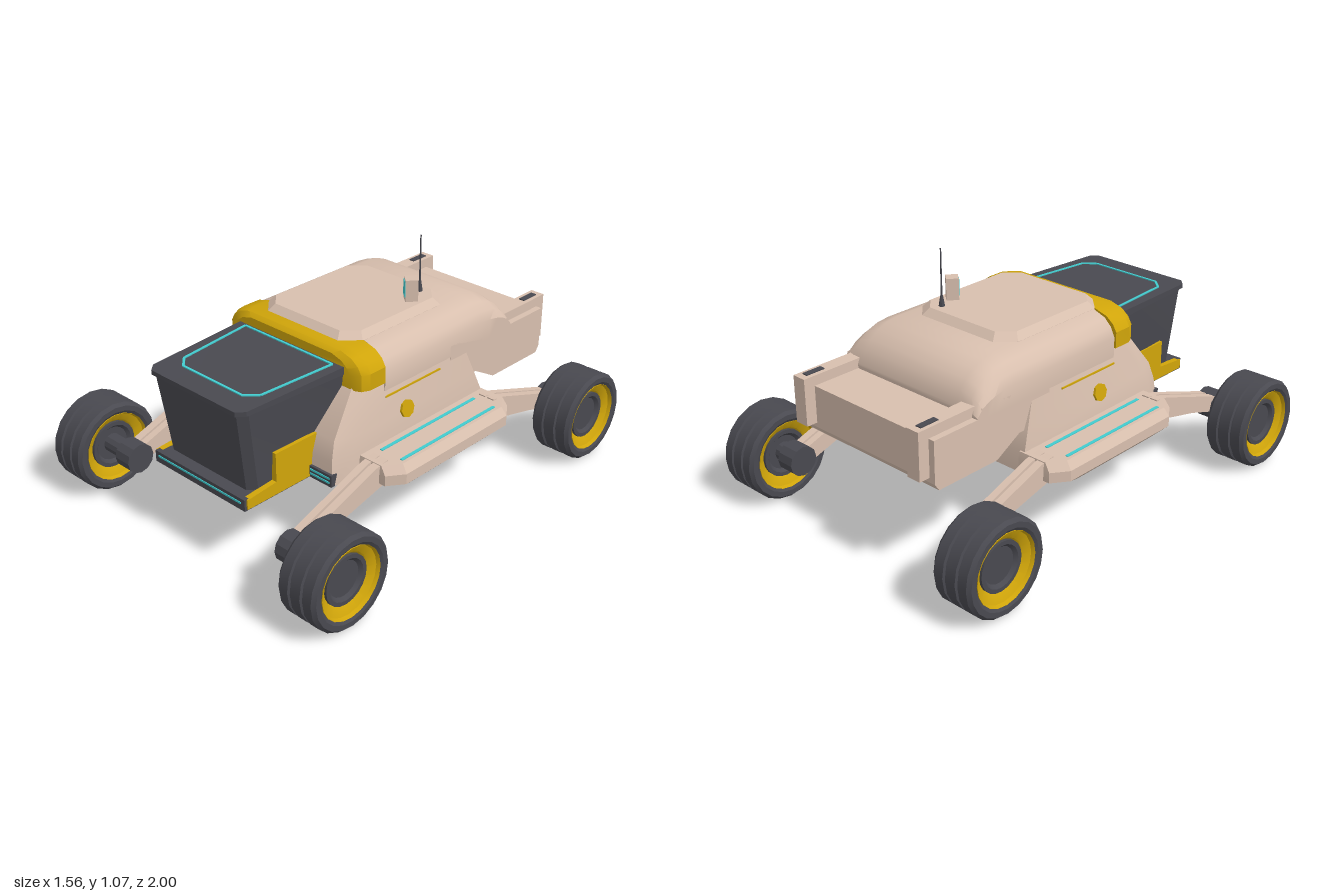
import * as THREE from 'three';
import { toCreasedNormals } from 'three/addons/utils/BufferGeometryUtils.js';

const paint = (name, color) => Object.assign(new THREE.MeshStandardMaterial({ color }), { name });

export function createModel() {
  const tan = paint('sand', 0xd8bfae);
  const dark = paint('charcoal', 0x494950);
  const yellow = paint('ochre yellow', 0xd0a50a);
  const cyan = paint('cyan glow', 0x42cccf);
  const root = new THREE.Group();

  const add = (name, geo, mat, parent = root) => {
    const mesh = new THREE.Mesh(toCreasedNormals(geo, 0.5), mat);
    mesh.name = name;
    parent.add(mesh);
    return mesh;
  };
  // box given by its min and max on each axis, s mirrors it in x
  const box = (name, x0, x1, y0, y1, z0, z1, mat, s = 1) => {
    const m = add(name, new THREE.BoxGeometry(x1 - x0, y1 - y0, z1 - z0), mat);
    m.position.set(s * (x0 + x1) / 2, (y0 + y1) / 2, (z0 + z1) / 2);
    return m;
  };
  // closed skin through rings of points, turned outwards by its signed volume
  const loft = (rings) => {
    const tris = [];
    const n = rings[0].length;
    const vec = rings.map((r) => r.map((p) => new THREE.Vector3(...p)));
    const centre = (r) => r.reduce((c, p) => c.addScaledVector(p, 1 / n), new THREE.Vector3());
    const first = centre(vec[0]), last = centre(vec[vec.length - 1]);
    for (let j = 0; j < n; j++) {
      const k = (j + 1) % n;
      for (let i = 0; i + 1 < vec.length; i++) {
        const [a, b, c, d] = [vec[i][j], vec[i][k], vec[i + 1][k], vec[i + 1][j]];
        tris.push([a, b, c], [a, c, d]);
      }
      tris.push([first, vec[0][k], vec[0][j]]);
      tris.push([last, vec[vec.length - 1][j], vec[vec.length - 1][k]]);
    }
    const volume = tris.reduce((v, [a, b, c]) => v + a.dot(b.clone().cross(c)), 0);
    const pts = tris.flatMap(([a, b, c]) => (volume > 0 ? [a, b, c] : [a, c, b]));
    return new THREE.BufferGeometry().setFromPoints(pts);
  };
  // ring symmetric in x at height y, from half outline [x, z, y?]
  const plan = (half, y) => [
    ...half.map(([x, z, h]) => [x, h ?? y, z]),
    ...half.slice().reverse().map(([x, z, h]) => [-x, h ?? y, z]),
  ];
  // side profile [z, y] extruded from x0 to x1
  const sideProfile = (pts, x0, x1) => {
    const shape = new THREE.Shape(pts.map(([z, y]) => new THREE.Vector2(z, y)));
    const g = new THREE.ExtrudeGeometry(shape, { depth: x1 - x0, bevelEnabled: false });
    return g.rotateY(-Math.PI / 2).translate(x1, 0, 0);
  };
  // chamfered roof section at z
  const roofRing = (z, w, base, top) => {
    const half = [[1, 0], [1, 0.48], [0.95, 0.7], [0.86, 0.88], [0.7, 1]]
      .map(([u, v]) => [u * w, base + v * (top - base), z]);
    return [...half, ...half.slice().reverse().map(([x, y, q]) => [-x, y, q])];
  };

  // upper hull with rounded tail, and the yellow brow
  add('upperHull', loft([[0.2, 0.785], [-0.4, 0.785], [-0.46, 0.777], [-0.51, 0.757], [-0.55, 0.728],
    [-0.58, 0.693], [-0.605, 0.635]].map(([z, top]) => roofRing(z, 0.383, 0.6, top))), tan);
  add('frontBrow', loft([[0.205, 0.388, 0.787], [0.29, 0.388, 0.787], [0.325, 0.372, 0.782],
    [0.345, 0.33, 0.768]].map(([z, w, top]) => roofRing(z, w, 0.64, top))), yellow);

  // flared lower hull
  add('lowerHull', loft([[0.3, 0.42, 0.505, -0.38], [0.4, 0.412, 0.495, -0.375], [0.48, 0.4, 0.47, -0.345],
    [0.65, 0.372, 0.342, -0.28]].map(([y, x, front, back]) =>
    plan([[x - 0.035, front], [x, front - 0.08], [x, back]], y))), tan);

  // tail box and its rails
  add('tailBox', sideProfile([[-0.2, 0.47], [-0.375, 0.47], [-0.5, 0.4], [-0.81, 0.4], [-0.83, 0.43],
    [-0.83, 0.612], [-0.59, 0.612], [-0.58, 0.65], [-0.2, 0.65]], -0.383, 0.383), tan);

  // roof hatch
  const hatch = (x, z0, z1, c) => [[x - c, z0], [x, z0 - c], [x, z1 + c], [x - c, z1]];
  add('roofHatch', loft([plan(hatch(0.27, 0.28, -0.33, 0.07), 0.775),
    plan(hatch(0.27, 0.28, -0.33, 0.07), 0.785),
    plan(hatch(0.243, 0.25, -0.3, 0.06), 0.815)]), tan);

  // front bin with a lip
  add('frontBin', loft([plan([[0.25, 0.32], [0.245, 0.76], [0.215, 0.795]], 0.335),
    plan([[0.295, 0.32], [0.262, 0.81], [0.232, 0.845]], 0.7)]), dark);
  add('binLid', loft([plan([[0.3, 0.3], [0.27, 0.825], [0.24, 0.858]], 0.698),
    plan([[0.3, 0.3, 0.731], [0.27, 0.825, 0.718], [0.24, 0.858, 0.717]], 0.72)]), dark);

  // glowing outline on the lid
  const outline = [[0.25, 0.36], [0.22, 0.71], [0.17, 0.756], [-0.17, 0.756], [-0.22, 0.71], [-0.25, 0.36]]
    .map(([x, z]) => new THREE.Vector3(x, 0.7315 - (z - 0.34) * 0.025, z));
  outline.forEach((a, i) => {
    const b = outline[(i + 1) % outline.length];
    const m = add('lidLight', new THREE.BoxGeometry(0.01, 0.006, a.distanceTo(b)), cyan);
    m.position.copy(a).lerp(b, 0.5);
    m.lookAt(b);
  });

  // floor plate
  box('floorPlate', -0.265, 0.265, 0.293, 0.343, -0.13, 0.85, dark);
  box('floorLight', -0.245, 0.245, 0.32, 0.328, 0.847, 0.853, cyan);

  // wheel, its axis along x
  const lathe = (pts) => new THREE.LatheGeometry(pts.map((p) => new THREE.Vector2(...p)), 20)
    .rotateZ(-Math.PI / 2);
  const tread = [[0.15, -0.085], [0.165, -0.095], [0.187, -0.095], [0.2, -0.08], [0.2, -0.038], [0.19, -0.034],
    [0.19, -0.028], [0.2, -0.024]];
  const tyre = [...tread, ...tread.slice().reverse().map(([r, y]) => [r, -y])];
  const rim = [[0.1, -0.045], [0.112, -0.06], [0.145, -0.075], [0.152, -0.09],
    [0.152, 0.09], [0.145, 0.075], [0.112, 0.06], [0.1, 0.045]];
  const hub = [[0, -0.05], [0.075, -0.05], [0.088, -0.064], [0.105, -0.064],
    [0.105, 0.064], [0.088, 0.064], [0.075, 0.05], [0, 0.05]];
  const drum = (name, r, x0, x1, z, s, sides) => {
    const g = new THREE.CylinderGeometry(r, r, x1 - x0, sides).rotateZ(Math.PI / 2);
    add(name, g, dark).position.set(s * (x0 + x1) / 2, 0.205, z);
  };

  for (const s of [1, -1]) {
    const span = (a, b) => (s > 0 ? [a, b] : [-b, -a]);

    // wheels, motors and twin-beam arms
    for (const f of [1, -1]) {
      const x = f > 0 ? 0.685 : 0.625;
      const wheel = new THREE.Group();
      wheel.name = f > 0 ? 'frontWheel' : 'rearWheel';
      wheel.position.set(s * x, 0.2, f * 0.8);
      root.add(wheel);
      add('tyre', lathe(tyre), dark, wheel);
      add('rim', lathe(rim), yellow, wheel);
      add('hub', lathe(hub), dark, wheel);
      drum('wheelMotor', 0.066, 0.44, 0.525, f * 0.8, s, 12);
      drum('axle', 0.042, 0.5, x - 0.04, f * 0.8, s, 12);
      const arm = [[0.33, 0.305], [0.33, 0.4], [0.4, 0.388], [0.8, 0.25], [0.8, 0.175], [0.6, 0.24]]
        .map(([z, y]) => [f * z, y]);
      for (const [a, b] of [[0.442, 0.474], [0.484, 0.52]]) {
        add('armBeam', sideProfile(arm, ...span(a, b)), tan);
      }
    }

    // side pod with light strips
    const pod = (y, o, z0, z1) => [[0.39, z0], [0.55 + o, z0], [0.6 + o, z0 - 0.07], [0.6 + o, z1 + 0.07],
      [0.55 + o, z1], [0.39, z1]].map(([x, z]) => [s * x, y, z]);
    add('sidePod', loft([pod(0.275, -0.04, 0.3, -0.3), pod(0.315, 0, 0.38, -0.388),
      pod(0.36, 0, 0.38, -0.388), pod(0.395, -0.025, 0.375, -0.383)]), tan);
    for (const x of [0.448, 0.553]) {
      box('podLight', x - 0.007, x + 0.007, 0.392, 0.398, -0.29, 0.29, cyan, s);
    }

    // front sill with two light lines
    box('frontSill', 0.26, 0.39, 0.298, 0.35, 0.4, 0.512, dark, s);
    for (const y of [0.316, 0.335]) {
      box('sillLight', 0.275, 0.38, y - 0.004, y + 0.004, 0.509, 0.515, cyan, s);
    }

    // yellow guard beside the bin
    add('binGuard', sideProfile([[0.84, 0.3], [0.84, 0.342], [0.69, 0.355], [0.69, 0.48], [0.44, 0.48],
      [0.4, 0.3]], ...span(0.245, 0.271)), yellow);

    // badge disc and stripe on the flared side
    const badge = add('sideBadge', new THREE.CylinderGeometry(0.038, 0.038, 0.02, 8), yellow);
    badge.rotation.z = -s * (Math.PI / 2 - 0.16);
    badge.position.set(s * 0.4, 0.485, 0.09);
    box('sideStripe', 0.38, 0.389, 0.571, 0.578, -0.13, 0.2, yellow, s);

    // tail rail with a dark slot
    add('tailRail', sideProfile([[-0.58, 0.6], [-0.78, 0.45], [-0.88, 0.45], [-0.88, 0.655], [-0.58, 0.655]],
      ...span(0.29, 0.355)), tan);
    box('railSlot', 0.31, 0.337, 0.652, 0.659, -0.85, -0.76, dark, s);
  }

  // sensor head and antenna on the roof
  const sensor = new THREE.Group();
  sensor.name = 'sensorHead';
  sensor.position.set(0.19, 0.86, -0.165);
  sensor.rotation.y = -0.7;
  root.add(sensor);
  add('sensorBody', new THREE.BoxGeometry(0.053, 0.1, 0.053), tan, sensor);
  add('sensorLens', new THREE.BoxGeometry(0.044, 0.068, 0.006), cyan, sensor).position.set(0, 0.008, 0.026);
  add('antennaBase', new THREE.CylinderGeometry(0.006, 0.014, 0.05, 8), dark).position.set(0.16, 0.835, -0.255);
  add('antenna', new THREE.CylinderGeometry(0.003, 0.004, 0.22, 6), dark).position.set(0.16, 0.955, -0.255);

  return root;
}
